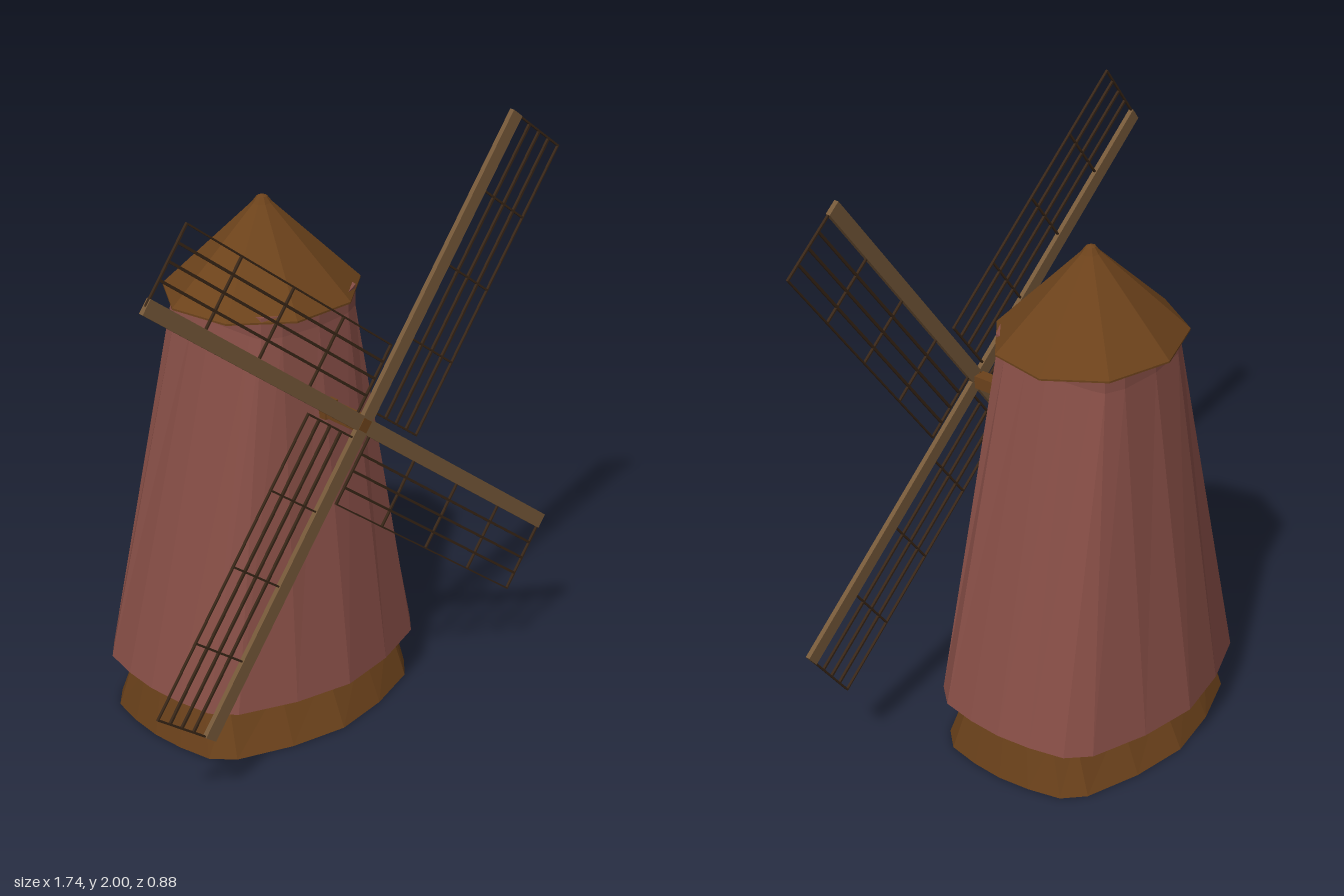
import * as THREE from 'three';

const material = (color) => new THREE.MeshStandardMaterial({ color, flatShading: true });
const brick = material(0x874e46);
const wood = material(0x6c421b);
const spar = material(0x755839);
const slat = material(0x382617);

// Mirror a quarter outline (front middle to right middle) into a closed loop
function outline(quarter) {
  const back = quarter.slice(0, -1).reverse().map(([x, z]) => [x, -z]);
  const half = [...quarter, ...back];
  const left = half.slice(1, -1).reverse().map(([x, z]) => [-x, z]);
  return [...half, ...left];
}

// Closed solid through rings of equal point count, from bottom to top
function loft(rings, zCentre) {
  const n = rings[0].points.length;
  const positions = [];
  const index = [];
  for (const { y, points } of rings) {
    for (const [x, z] of points) positions.push(x, y, z + zCentre);
  }
  for (let r = 0; r < rings.length - 1; r++) {
    for (let i = 0; i < n; i++) {
      const j = (i + 1) % n;
      const a = r * n + i, b = r * n + j;
      index.push(a, b, b + n, a, b + n, a + n);
    }
  }
  const top = (rings.length - 1) * n;
  for (let i = 1; i < n - 1; i++) {
    index.push(0, i + 1, i);
    index.push(top, top + i, top + i + 1);
  }
  const indexed = new THREE.BufferGeometry();
  indexed.setAttribute('position', new THREE.Float32BufferAttribute(positions, 3));
  indexed.setIndex(index);
  const geometry = indexed.toNonIndexed();
  geometry.computeVertexNormals();
  return geometry;
}

function add(parent, name, geometry, mat, x = 0, y = 0, z = 0) {
  const mesh = new THREE.Mesh(geometry, mat);
  mesh.name = name;
  mesh.position.set(x, y, z);
  parent.add(mesh);
  return mesh;
}

// One sail along local +x, with its lattice hanging on the -y side
function makeSail() {
  const sail = new THREE.Group();
  const length = 1.068, start = 0.05, width = 0.257;
  add(sail, 'sailSpar', new THREE.BoxGeometry(length, 0.05, 0.016), spar, length / 2, 0, 0);
  for (let i = 1; i <= 4; i++) {
    const thickness = i === 4 ? 0.005 : 0.008;
    add(sail, 'longSlat', new THREE.BoxGeometry(length - start, thickness, 0.008), slat,
      (length + start) / 2, -0.025 - i * 0.0575, 0);
  }
  for (let i = 0; i <= 4; i++) {
    const u = start + (i / 4) * (length - start - 0.003);
    add(sail, 'crossSlat', new THREE.BoxGeometry(0.006, width, 0.008), slat, u, -width / 2, 0);
  }
  return sail;
}

export function createModel() {
  const model = new THREE.Group();
  model.name = 'windmill';

  const wide = outline([[0, 0.415], [0.2, 0.38], [0.39, 0.31], [0.455, 0.24], [0.48, 0.12], [0.49, 0]]);
  const narrow = outline([[0, 0.255], [0.14, 0.24], [0.2, 0.21], [0.21, 0.17], [0.216, 0.08], [0.22, 0]]);
  const resize = (points, sx, sz) => points.map(([x, z]) => [x * sx, z * sz]);

  // Flared footing
  add(model, 'base', loft([
    { y: 0, points: resize(wide, 0.98, 0.93) },
    { y: 0.19, points: resize(wide, 0.925, 0.72) },
  ], -0.02), wood);

  // Tapered tower with a short straight neck
  add(model, 'tower', loft([
    { y: 0.18, points: wide },
    { y: 1.39, points: narrow },
    { y: 1.46, points: narrow },
  ], -0.025), brick);

  // Nine-sided roof with a blunt tip
  const profile = [[0, 1.44], [0.3, 1.44], [0.3, 1.446], [0.03, 1.725], [0.016, 1.745], [0, 1.752]]
    .map(([r, y]) => new THREE.Vector2(r, y));
  const roof = new THREE.LatheGeometry(profile, 9);
  roof.rotateY(Math.PI);
  roof.scale(1.1, 1, 1);
  add(model, 'roof', roof, wood, 0, 0, -0.03);

  // Axle and its collar
  const hubY = 1.127;
  add(model, 'axle', new THREE.BoxGeometry(0.044, 0.044, 0.24), wood, 0, hubY, 0.318);
  add(model, 'axleCollar', new THREE.BoxGeometry(0.054, 0.054, 0.09), wood, 0, hubY, 0.245);

  // Four sails around the hub
  const sails = new THREE.Group();
  sails.name = 'sails';
  sails.position.set(-0.003, hubY, 0.432);
  for (let i = 0; i < 4; i++) {
    const sail = makeSail();
    sail.name = 'sail';
    sail.rotation.z = THREE.MathUtils.degToRad(53.2 + i * 90);
    sails.add(sail);
  }
  const hub = add(sails, 'hub', new THREE.BoxGeometry(0.04, 0.04, 0.018), wood);
  hub.rotation.z = THREE.MathUtils.degToRad(53.2);
  model.add(sails);

  return model;
}
